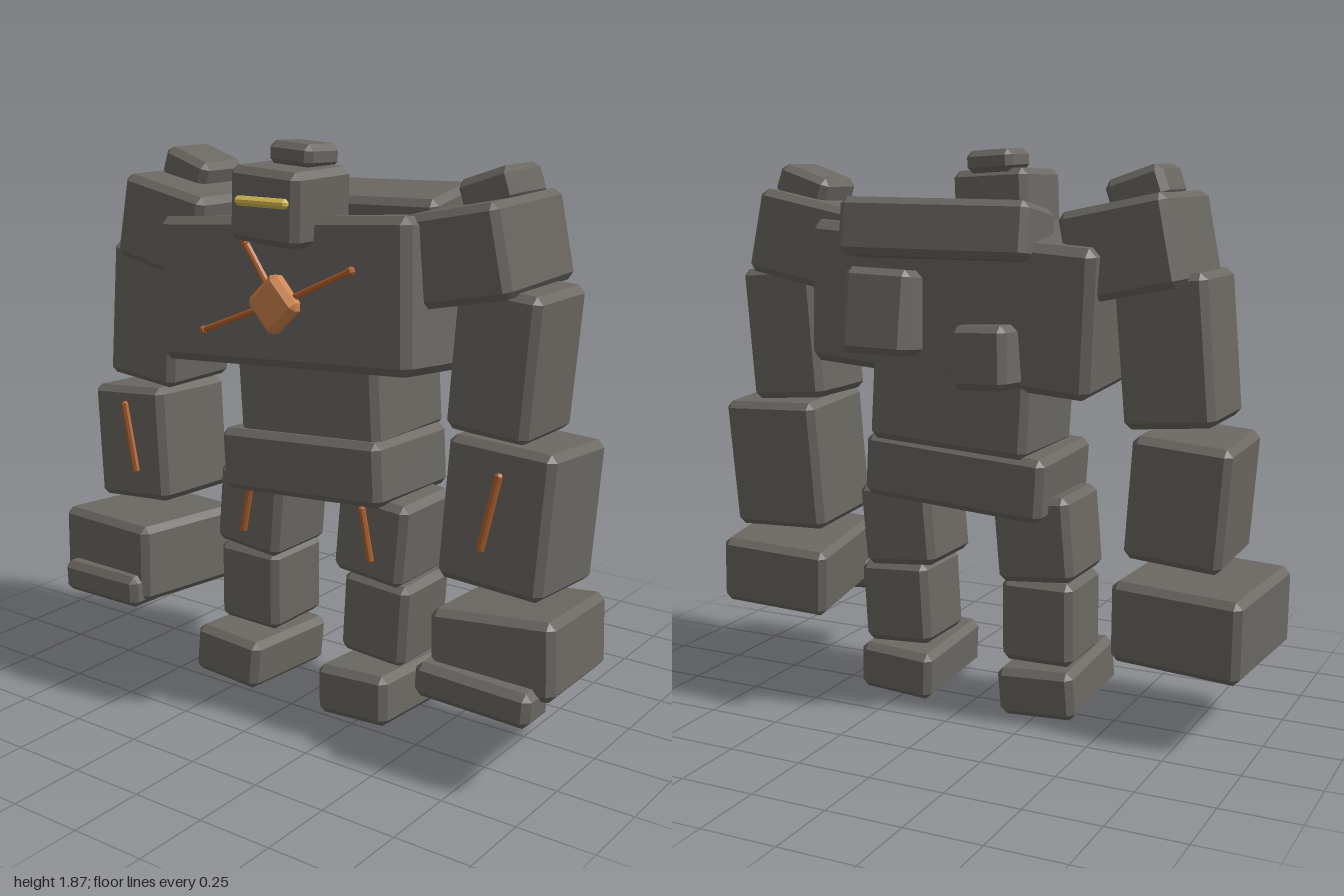
import * as THREE from 'three';
import { ConvexGeometry } from 'three/addons/geometries/ConvexGeometry.js';

const material = (name, color) => Object.assign(new THREE.MeshStandardMaterial({ color }), { name });

// Box with every edge and corner cut flat
function chamferBox(w, h, d, c) {
  const points = [];
  for (const sx of [-1, 1]) for (const sy of [-1, 1]) for (const sz of [-1, 1]) {
    const x = w / 2, y = h / 2, z = d / 2;
    points.push(
      new THREE.Vector3(sx * x, sy * (y - c), sz * (z - c)),
      new THREE.Vector3(sx * (x - c), sy * y, sz * (z - c)),
      new THREE.Vector3(sx * (x - c), sy * (y - c), sz * z));
  }
  return new ConvexGeometry(points);
}

export function createModel() {
  const model = new THREE.Group();
  model.name = 'stoneGolem';
  const stone = material('stone', 0x6b6863);
  const amber = material('amberGem', 0xcd8249);
  const ember = material('emberCrack', 0xb5622c);
  const gold = material('goldVisor', 0xd8bf50);

  function block(name, size, pos, rot = [0, 0, 0], mat = stone, chamfer = 0.022) {
    const mesh = new THREE.Mesh(chamferBox(...size, chamfer), mat);
    mesh.name = name;
    mesh.position.set(...pos);
    mesh.rotation.set(...rot);
    model.add(mesh);
    return mesh;
  }

  // Thin glowing bar between two points
  function bar(name, from, to, width) {
    const a = new THREE.Vector3(...from), b = new THREE.Vector3(...to);
    const mesh = block(name, [width, a.distanceTo(b), 0.024],
      a.clone().add(b).multiplyScalar(0.5).toArray(), [0, 0, 0], ember, width * 0.3);
    mesh.quaternion.setFromUnitVectors(new THREE.Vector3(0, 1, 0), b.sub(a).normalize());
  }

  // Trunk
  block('torso', [1.01, 0.47, 0.54], [0, 1.393, 0.035], [-0.08, -0.04, 0.07], stone, 0.026);
  block('waist', [0.56, 0.32, 0.4], [0.01, 1.075, -0.015], [0, 0, 0.06]);
  block('pelvis', [0.64, 0.21, 0.42], [0.005, 0.825, 0.01], [-0.03, 0, 0.07]);

  // Back rocks
  block('backSlab', [0.62, 0.18, 0.3], [0.01, 1.612, -0.205], [0.13, 0.1, 0]);
  block('backRockLeft', [0.22, 0.27, 0.2], [0.19, 1.36, -0.285], [0.1, 0.12, 0.03]);
  block('backRockRight', [0.19, 0.2, 0.2], [-0.16, 1.23, -0.24], [0.05, -0.04, -0.04]);

  // Head
  block('head', [0.275, 0.23, 0.275], [0.005, 1.687, 0.24], [0.02, -0.05, -0.05]);
  block('headCap', [0.17, 0.075, 0.16], [0.01, 1.832, 0.175], [-0.03, -0.04, -0.06], stone, 0.02);
  block('visor', [0.2, 0.03, 0.03], [0.01, 1.702, 0.388], [0, 0, 0], gold, 0.01);

  // Arms: forms repeat on both sides with their own tilt
  const arms = [
    { s: 'left',
      shoulder: [[0.35, 0.28, 0.44], [0.575, 1.568, 0.02], [0.02, 0.03, 0.2]],
      cap: [[0.19, 0.11, 0.215], [0.598, 1.745, -0.03], [0, 0.03, 0.33]],
      upper: [[0.28, 0.45, 0.305], [0.685, 1.25, 0.018], [0, 0, -0.08]],
      fore: [[0.36, 0.45, 0.35], [0.74, 0.792, 0.052], [-0.07, 0, -0.04]],
      fist: [[0.4, 0.24, 0.45], [0.775, 0.393, 0.1], [-0.1, 0.1, 0.08]],
      finger: [[0.385, 0.11, 0.15], [0.765, 0.3, 0.315], [-0.05, 0.05, -0.05]],
      rune: [[0.755, 0.945, 0.216], [0.705, 0.695, 0.234]] },
    { s: 'right',
      shoulder: [[0.35, 0.285, 0.45], [-0.56, 1.568, 0.01], [0, 0, -0.2]],
      cap: [[0.19, 0.11, 0.215], [-0.585, 1.745, -0.03], [0, 0.02, -0.33]],
      upper: [[0.295, 0.47, 0.32], [-0.68, 1.255, 0.04], [0, 0, -0.09]],
      fore: [[0.32, 0.4, 0.35], [-0.73, 0.79, 0.055], [-0.04, 0, 0.08]],
      fist: [[0.44, 0.27, 0.46], [-0.758, 0.388, 0.095], [-0.04, -0.1, 0.02]],
      finger: [[0.37, 0.11, 0.15], [-0.762, 0.3, 0.3], [0, -0.06, 0.04]],
      rune: [[-0.748, 0.945, 0.226], [-0.69, 0.695, 0.236]] },
  ];
  for (const a of arms) {
    block(a.s + 'Shoulder', ...a.shoulder);
    block(a.s + 'ShoulderCap', ...a.cap);
    block(a.s + 'UpperArm', ...a.upper);
    block(a.s + 'Forearm', ...a.fore);
    block(a.s + 'Fist', ...a.fist);
    block(a.s + 'Fingers', ...a.finger);
    bar(a.s + 'ForearmRune', ...a.rune, 0.026);
  }

  // Legs
  for (const side of [1, -1]) {
    const s = side > 0 ? 'left' : 'right';
    block(s + 'Thigh', [0.265, 0.28, 0.29], [0.25 * side, 0.62, 0.02], [0, 0, -0.09]);
    block(s + 'Shin', [0.25, 0.28, 0.27], [0.262 * side, 0.342, 0.02], [0, 0, side > 0 ? -0.06 : -0.01]);
    block(s + 'Foot', [0.27, 0.165, 0.405], [0.262 * side, 0.109, 0.08], [-0.06, 0, 0.06 * side]);
    bar(s + 'ThighRune', [0.227 * side, 0.73, 0.166], [0.265 * side, 0.545, 0.166], 0.024);
  }

  // Chest gem with cracks running over the tilted torso front
  block('chestGem', [0.145, 0.145, 0.08], [0.005, 1.382, 0.312], [-0.06, 0, Math.PI / 4], amber, 0.018);
  const onChest = (x, y) => [x, y, 0.308 - 0.08 * (y - 1.39) + 0.04 * x];
  const cracks = [[-0.3, 1.265, -0.04, 1.37], [0.05, 1.4, 0.285, 1.51], [-0.135, 1.56, -0.03, 1.43]];
  for (const [x0, y0, x1, y1] of cracks) {
    bar('chestCrack', onChest(x0, y0), onChest(x1, y1), 0.02);
    block('crackEnd', [0.026, 0.026, 0.03], onChest(x0 < 0 ? x0 : x1, x0 < 0 ? y0 : y1), [0, 0, 0.4], ember, 0.007);
  }
  return model;
}
